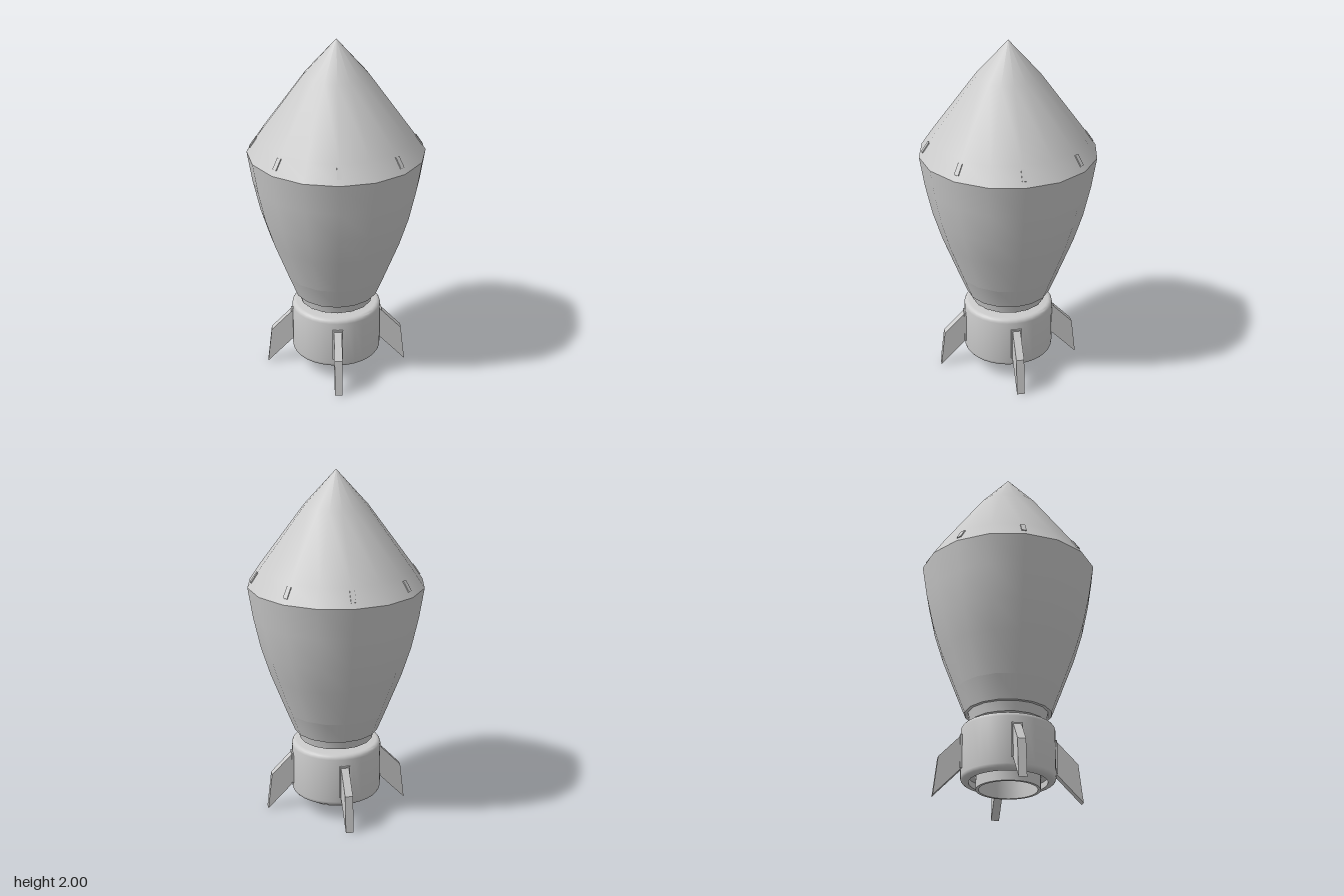
import * as THREE from 'three';
import { toCreasedNormals } from 'three/addons/utils/BufferGeometryUtils.js';

export function createModel() {
  const model = new THREE.Group();
  const material = new THREE.MeshStandardMaterial({ color: 0xcccccc });

  const add = (name, geometry, parent = model) => {
    const mesh = new THREE.Mesh(geometry, material);
    mesh.name = name;
    parent.add(mesh);
    return mesh;
  };
  const lathe = (name, profile, sides) => {
    const points = profile.map(([r, y]) => new THREE.Vector2(r, y));
    return add(name, toCreasedNormals(new THREE.LatheGeometry(points, sides), 0.6));
  };

  // Sixteen-sided hull, bottom to top
  lathe('hullCollar', [[0, 0.43], [0.212, 0.43], [0.224, 0.485], [0.243, 0.485], [0.295, 0.615]], 16);
  lathe('hull', [[0.295, 0.615], [0.38, 0.835], [0.432, 1.0], [0.472, 1.18], [0.5, 1.355]], 16);
  lathe('noseCone', [[0.5, 1.355], [0.432, 1.455], [0.18, 1.8], [0, 2]], 16);

  // Engine housing with rounded rims, hollow nozzle underneath
  const engine = [[0, 0.3], [0.16, 0.3], [0.16, 0.055], [0.176, 0.055], [0.176, 0.13], [0.215, 0.13], [0.215, 0.095]];
  const rim = 0.026;
  for (const [cy, start] of [[0.095 + rim, -Math.PI / 2], [0.41 - rim, 0]]) {
    for (let i = 0; i <= 4; i++) {
      const a = start + (i * Math.PI) / 8;
      engine.push([0.26 - rim + rim * Math.cos(a), cy + rim * Math.sin(a)]);
    }
  }
  engine.push([0.16, 0.41], [0.16, 0.416], [0, 0.416]);
  lathe('engineHousing', engine, 32);

  // Four swept fins on mounting plates
  const outline = new THREE.Shape([[0.25, 0.165], [0.41, 0], [0.385, 0.215], [0.25, 0.355]]
    .map(([x, y]) => new THREE.Vector2(x, y)));
  const finGeometry = new THREE.ExtrudeGeometry(outline, { depth: 0.045, bevelEnabled: false });
  finGeometry.translate(0, 0, -0.0225);
  const plateGeometry = new THREE.BoxGeometry(0.03, 0.19, 0.06).translate(0.253, 0.25, 0);
  for (let i = 0; i < 4; i++) {
    const fin = new THREE.Group();
    fin.name = 'fin';
    fin.rotation.y = (i * Math.PI) / 2;
    add('finBlade', finGeometry, fin);
    add('finMount', plateGeometry, fin);
    model.add(fin);
  }

  // Eight small inlays lying along the slope of the nose
  const slope = Math.atan2(0.068, 0.1);
  for (let i = 0; i < 8; i++) {
    const holder = new THREE.Group();
    holder.name = 'noseInlay';
    holder.rotation.y = (i * Math.PI) / 4;
    const inlay = add('inlayBlock', new THREE.BoxGeometry(0.02, 0.068, 0.027), holder);
    inlay.position.set(0.456, 1.409, 0);
    inlay.rotation.z = slope;
    model.add(holder);
  }

  return model;
}
